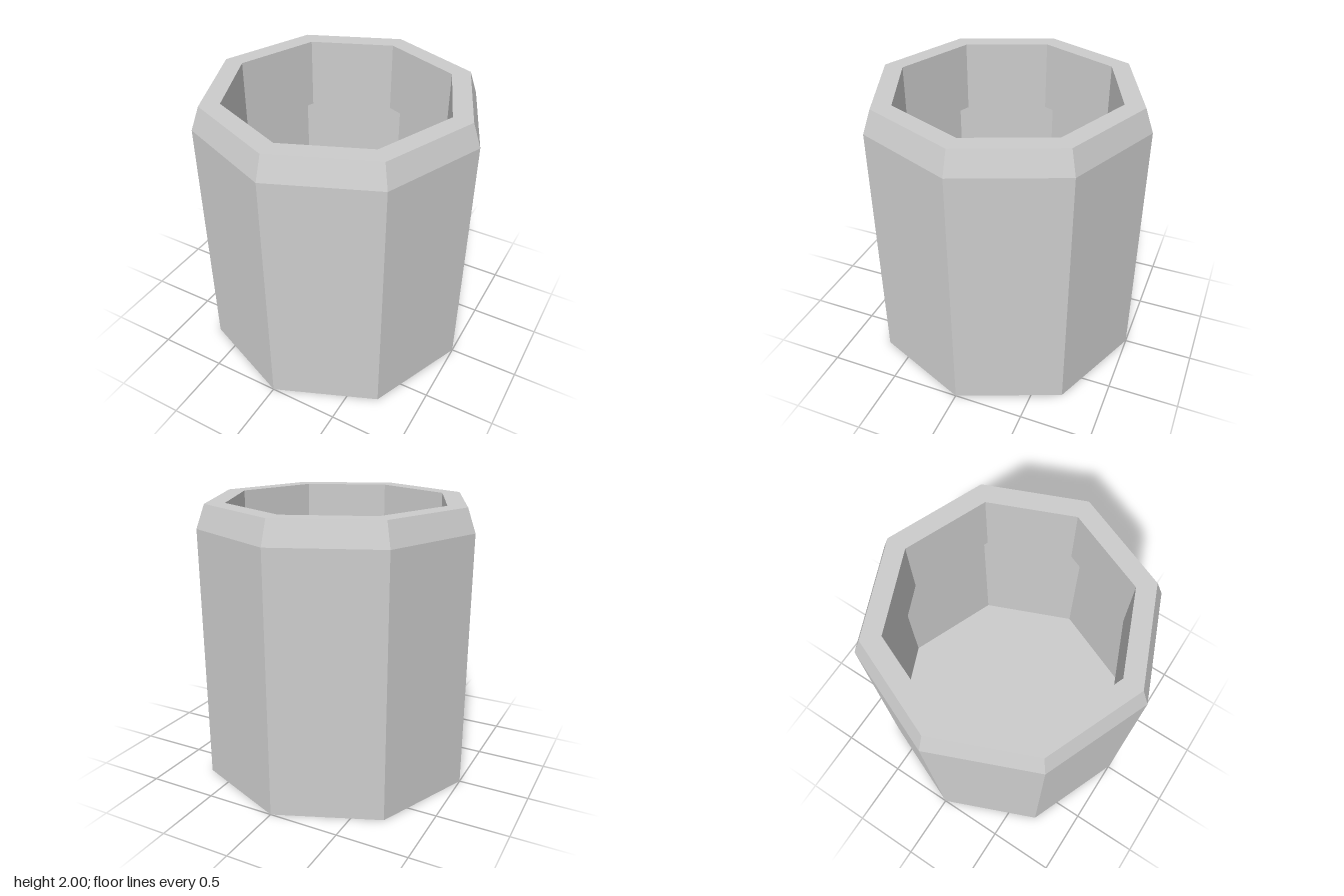
import * as THREE from 'three';

const SIDES = 8;

export function createModel() {
  const group = new THREE.Group();
  group.name = 'octagonalPot';
  const material = new THREE.MeshStandardMaterial({
    color: 0xcccccc, flatShading: true, side: THREE.DoubleSide,
  });

  // Eight-sided sheet swept from a [radius, height] profile, corners on the axes
  const addRing = (name, profile) => {
    const points = profile.map(([r, y]) => new THREE.Vector2(r, y));
    const mesh = new THREE.Mesh(new THREE.LatheGeometry(points, SIDES), material);
    mesh.name = name;
    group.add(mesh);
  };

  // Thin outer wall with a chamfered shoulder
  addRing('outerWall', [[1, 0], [1, 1.835], [0.94, 2]]);

  // Flat rim and the short collar hanging inside the mouth
  addRing('rimAndCollar', [[0.94, 2], [0.8, 2], [0.8, 1.48]]);

  // Base plate, facing down
  const base = new THREE.Mesh(new THREE.CircleGeometry(1, SIDES).rotateX(Math.PI / 2), material);
  base.name = 'base';
  group.add(base);

  return group;
}
